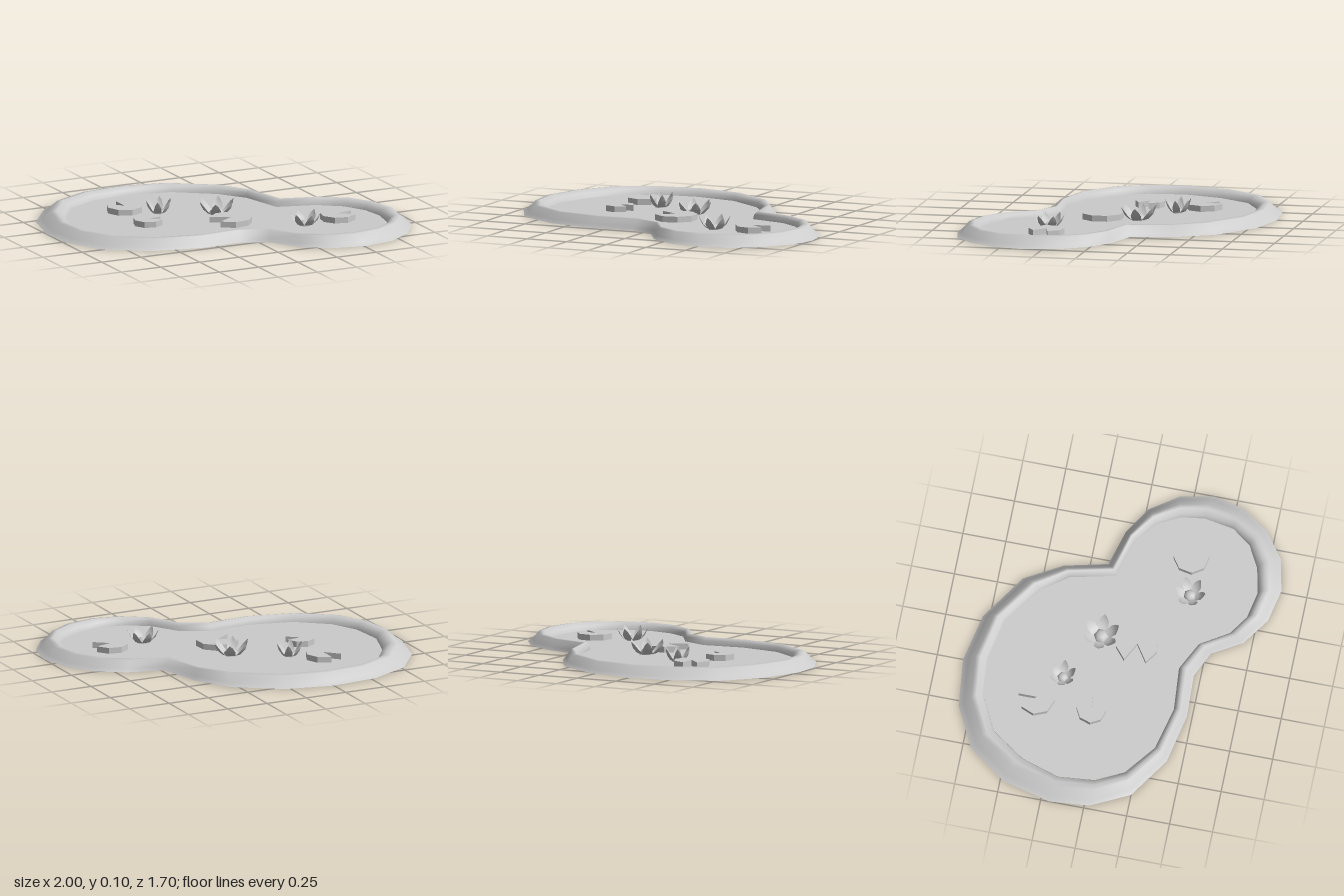
import * as THREE from 'three';

const WATER_Y = 0.022;

// Bank stations: outer x, z and matching inner x, z
const BANK = [
  [-0.25, -0.85, -0.23, -0.71], [0.03, -0.79, 0.02, -0.66], [0.30, -0.61, 0.24, -0.50],
  [0.42, -0.40, 0.35, -0.35], [0.48, -0.15, 0.41, -0.09], [0.69, -0.09, 0.63, -0.03],
  [0.85, 0.01, 0.76, 0.07], [0.96, 0.17, 0.83, 0.20], [1.0, 0.36, 0.85, 0.34],
  [0.96, 0.54, 0.82, 0.51], [0.85, 0.70, 0.74, 0.62], [0.70, 0.81, 0.61, 0.69],
  [0.51, 0.85, 0.46, 0.72], [0.32, 0.81, 0.31, 0.69], [0.16, 0.70, 0.19, 0.61],
  [0.06, 0.53, 0.09, 0.45], [-0.09, 0.46, -0.07, 0.37], [-0.34, 0.47, -0.32, 0.39],
  [-0.63, 0.41, -0.57, 0.33], [-0.87, 0.25, -0.75, 0.19], [-0.98, 0.03, -0.83, 0.03],
  [-1.0, -0.20, -0.85, -0.18], [-0.93, -0.48, -0.78, -0.40], [-0.77, -0.70, -0.65, -0.59],
  [-0.53, -0.82, -0.45, -0.69],
];
// Bank section: fraction from outer to inner edge, height
const SECTION = [[0, 0], [0.2, 0.018], [0.5, 0.061], [0.7, 0.065], [0.92, 0.048], [1, WATER_Y - 0.004]];

const grey = new THREE.MeshStandardMaterial({ color: 0xcccccc });
const flat = new THREE.MeshStandardMaterial({ color: 0xcccccc, flatShading: true });
const petalMaterial = new THREE.MeshStandardMaterial({ color: 0xcccccc, side: THREE.DoubleSide });

function named(name, geometry, material) {
  const mesh = new THREE.Mesh(geometry, material);
  mesh.name = name;
  return mesh;
}

function indexed(positions, index) {
  const g = new THREE.BufferGeometry();
  g.setAttribute('position', new THREE.Float32BufferAttribute(positions, 3));
  g.setIndex(index);
  g.computeVertexNormals();
  return g;
}

// Rounded bank swept between the two outlines
function bankGeometry() {
  const pos = [], idx = [], n = BANK.length;
  SECTION.forEach(([f, y], j) => BANK.forEach(([ox, oz, ix, iz], i) => {
    pos.push(ox + (ix - ox) * f, y, oz + (iz - oz) * f);
    if (j === SECTION.length - 1) return;
    const a = j * n + i, b = j * n + (i + 1) % n;
    idx.push(a, a + n, b, b, a + n, b + n);
  }));
  return indexed(pos, idx);
}

// Round leaf of seven segments with a wedge cut out
function padGeometry(radius, start, sweep) {
  const points = [new THREE.Vector2(0, 0)];
  for (let i = 0; i <= 7; i++) {
    const a = THREE.MathUtils.degToRad(start + sweep * i / 7);
    points.push(new THREE.Vector2(radius * Math.cos(a), -radius * Math.sin(a)));
  }
  return new THREE.ExtrudeGeometry(new THREE.Shape(points), { depth: 0.034, bevelEnabled: false })
    .rotateX(-Math.PI / 2);
}

// Cupped petal pointing along +x: radius, height and half width per row
function petalGeometry(R, height) {
  const rows = [[0.22, 0, 0.14], [0.55, 0.12, 0.27], [0.8, 0.45, 0.28], [0.93, 0.78, 0.16], [1, 1, 0.02]];
  const pos = [], idx = [];
  rows.forEach(([r, h, w], j) => {
    for (let k = -1; k <= 1; k++) {
      pos.push(R * (r - 0.25 * w * Math.abs(k)), height * h, R * w * k);
      if (k === 1 || j === rows.length - 1) continue;
      const a = j * 3 + k + 1;
      idx.push(a, a + 1, a + 3, a + 1, a + 4, a + 3);
    }
  });
  return indexed(pos, idx);
}

function flower(R, height, turn) {
  const group = new THREE.Group();
  group.name = 'flower';
  const petal = petalGeometry(R, height);
  for (let i = 0; i < 6; i++) {
    const mesh = named('petal', petal, petalMaterial);
    mesh.rotation.y = turn + i * Math.PI / 3;
    group.add(mesh);
  }
  // Low six-sided dome in the middle
  const dome = new THREE.SphereGeometry(R * 0.42, 6, 3, 0, Math.PI * 2, 0, Math.PI / 2);
  const centre = named('flowerCentre', dome, grey);
  centre.scale.y = 0.8;
  centre.rotation.y = turn + Math.PI / 6;
  group.add(centre);
  return group;
}

export function createModel() {
  const pond = new THREE.Group();
  pond.name = 'pond';

  pond.add(named('bank', bankGeometry(), grey));

  // Water surface and underside
  const inner = new THREE.Shape(BANK.map(([, , x, z]) => new THREE.Vector2(x, -z)));
  const water = named('water', new THREE.ShapeGeometry(inner).rotateX(-Math.PI / 2), grey);
  water.position.y = WATER_Y;
  const outer = new THREE.Shape(BANK.map(([x, z]) => new THREE.Vector2(x, z)));
  pond.add(water, named('base', new THREE.ShapeGeometry(outer).rotateX(Math.PI / 2), grey));

  // Lily pads: x, z, radius, start angle, sweep
  for (const [x, z, r, start, sweep] of [
    [-0.41, -0.39, 0.105, 270, 315], [-0.42, -0.07, 0.085, 40, 315],
    [0.02, 0.11, 0.122, 208, 298], [0.60, 0.31, 0.102, 37, 308],
  ]) {
    const pad = named('lilyPad', padGeometry(r, start, sweep), flat);
    pad.position.set(x, WATER_Y, z);
    pond.add(pad);
  }

  // Flowers: x, z, radius, height, turn
  for (const [x, z, r, h, turn] of [
    [-0.253, -0.27, 0.078, 0.08, 0], [0.035, -0.103, 0.106, 0.08, 0], [0.375, 0.345, 0.09, 0.076, 0.5],
  ]) {
    const f = flower(r, h, turn);
    f.position.set(x, WATER_Y, z);
    pond.add(f);
  }
  return pond;
}
